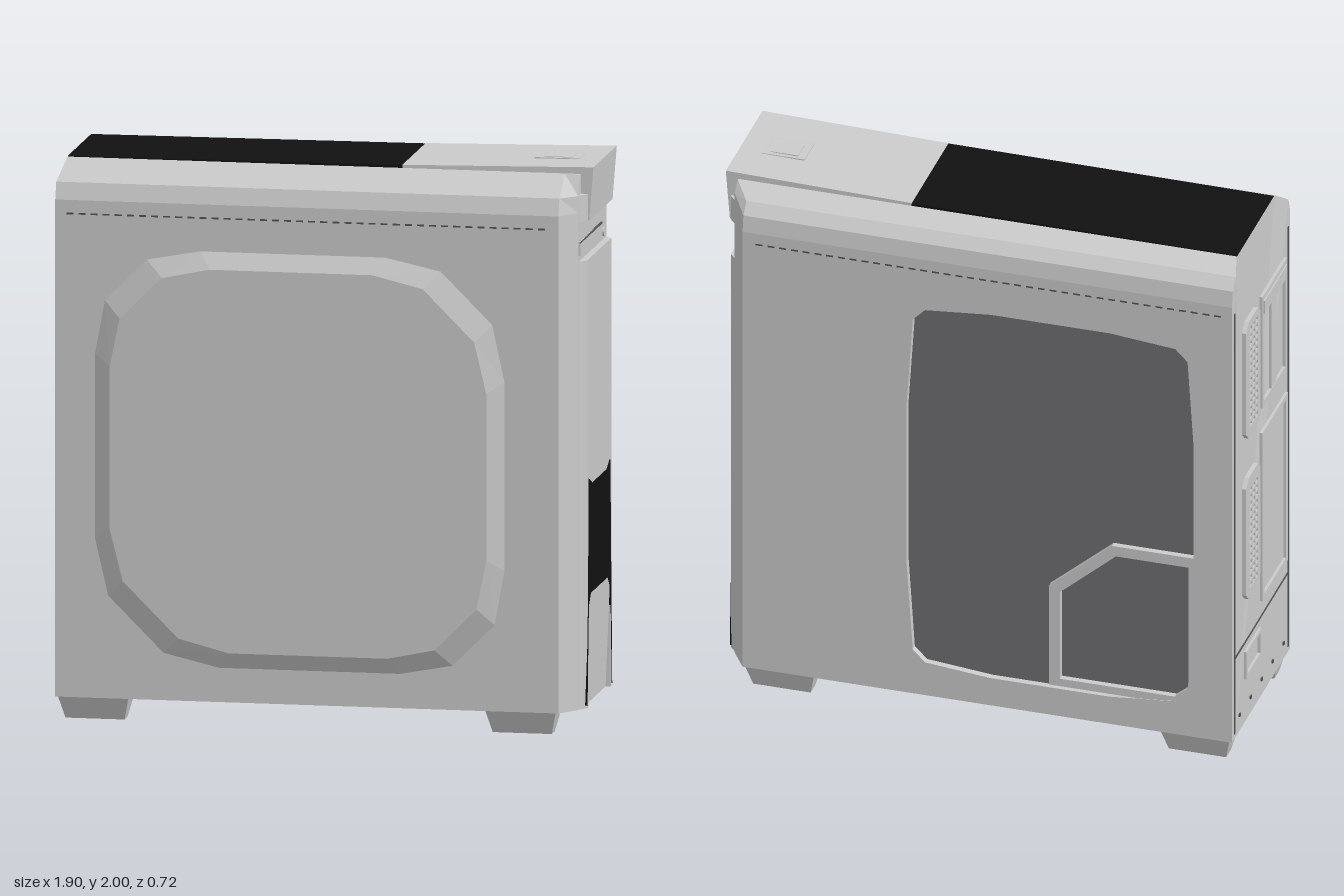
import * as THREE from 'three';

const mat = (color) => new THREE.MeshStandardMaterial({ color, flatShading: true });
const grey = mat(0xcccccc), black = mat(0x111111), glass = mat(0x707073), dark = mat(0x555555);

export function createModel() {
  const model = new THREE.Group();
  const add = (name, geo, m = grey) => {
    const mesh = new THREE.Mesh(geo, m);
    mesh.name = name;
    model.add(mesh);
    return mesh;
  };
  const box = (name, x0, x1, y0, y1, z0, z1, m) =>
    add(name, new THREE.BoxGeometry(x1 - x0, y1 - y0, z1 - z0), m)
      .position.set((x0 + x1) / 2, (y0 + y1) / 2, (z0 + z1) / 2);

  // Closed skin over convex rings, counter-clockwise seen from the last ring
  const loft = (rings) => {
    const n = rings[0].length, pos = [];
    const tri = (...p) => p.forEach((q) => pos.push(...q));
    for (let r = 0; r < rings.length - 1; r++) for (let i = 0; i < n; i++) {
      const j = (i + 1) % n, a = rings[r], b = rings[r + 1];
      tri(a[i], a[j], b[j]);
      tri(a[i], b[j], b[i]);
    }
    const first = rings[0], last = rings[rings.length - 1];
    for (let i = 1; i < n - 1; i++) {
      tri(last[0], last[i], last[i + 1]);
      tri(first[0], first[i + 1], first[i]);
    }
    const geo = new THREE.BufferGeometry();
    geo.setAttribute('position', new THREE.Float32BufferAttribute(pos, 3));
    geo.computeVertexNormals();
    return geo;
  };
  const outline = (pts) => new THREE.Shape(pts.map((p) => new THREE.Vector2(...p)));
  const rect = (u0, u1, v0, v1) => [[u0, v0], [u1, v0], [u1, v1], [u0, v1]];
  const chamfered = (u0, u1, v0, v1, c) => [[u0 + c, v0], [u1 - c, v0], [u1, v0 + c], [u1, v1 - c],
    [u1 - c, v1], [u0 + c, v1], [u0, v1 - c], [u0, v0 + c]];
  const extrude = (pts, depth, holes = []) => {
    const s = outline(pts);
    holes.forEach((h) => s.holes.push(outline(h)));
    return new THREE.ExtrudeGeometry(s, { depth, bevelEnabled: false });
  };
  // Outline in x,y between two z values
  const side = (pts, z0, z1, holes) => extrude(pts, z1 - z0, holes).translate(0, 0, z0);
  // Outline in x,z between two y values
  const flip = (pts) => pts.map(([x, z]) => [x, -z]);
  const plan = (pts, y0, y1, holes = []) =>
    extrude(flip(pts), y1 - y0, holes.map(flip)).rotateX(-Math.PI / 2).translate(0, y0, 0);
  // Outline in z,y between two x values
  const wall = (pts, x0, x1, holes) => extrude(pts, x1 - x0, holes).rotateY(-Math.PI / 2).translate(x1, 0, 0);
  // Cut each corner of an outline again to round it
  const soften = (pts, k = 0.2) => pts.flatMap((p, i) => {
    const a = pts[(i + pts.length - 1) % pts.length], b = pts[(i + 1) % pts.length];
    return [a, b].map((q) => p.map((v, d) => v + (q[d] - v) * k));
  });

  // Shell: y,z profile run along x, with a bevelled front
  const profile = (edge) => [[0.08, edge], [1.84, edge], [1.84, -0.36], [1.9, -0.35], [1.94, -0.315], [1.975, -0.24],
    [1.975, 0.21], [1.905, 0.31], [1.845, 0.33], [0.08, 0.33]];
  add('shell', loft([
    profile(-0.33).map(([y, z]) => [y > 1.95 ? -0.92 : -0.94, y, z]),
    profile(-0.33).map(([y, z]) => [0.85, y, z]),
    profile(-0.36).map(([y, z]) => [0.85, y, z]),
    profile(-0.36).map(([y, z]) => [0.905, y, THREE.MathUtils.clamp(z, -0.275, 0.25)]),
  ]));

  // Raised side panel
  const bulge = (x0, x1, y0, y1) => soften([[x0 + 0.29, y0], [x1 - 0.22, y0], [x1, y0 + 0.22], [x1, y1 - 0.27],
    [x1 - 0.27, y1], [x0 + 0.22, y1], [x0, y1 - 0.22], [x0, y0 + 0.29]], 0.16);
  add('raisedSidePanel', loft([
    bulge(-0.8, 0.66, 0.2, 1.68).map((p) => [...p, 0.329]),
    bulge(-0.74, 0.6, 0.26, 1.62).map((p) => [...p, 0.363]),
  ]));

  // Window panel, glass and its corner frame
  const opening = soften(chamfered(-0.8, 0.25, 0.19, 1.66, 0.09), 0.25);
  add('windowPanel', side(rect(-0.94, 0.85, 0.08, 1.84), -0.36, -0.329, [opening]));
  add('windowGlass', side(opening, -0.335, -0.325), glass);
  add('windowCornerFrame', side(
    [[-0.8, 0.26], [-0.74, 0.2], [-0.27, 0.2], [-0.27, 0.6], [-0.5, 0.8], [-0.8, 0.8]], -0.358, -0.33,
    [[[-0.78, 0.27], [-0.73, 0.23], [-0.31, 0.23], [-0.31, 0.58], [-0.515, 0.76], [-0.78, 0.76]]]));

  // Rows of small slots under the roof
  for (let i = 0; i < 40; i++) {
    const x = -0.9 + i * 0.043;
    box('sideSlot', x, x + 0.025, 1.794, 1.8, 0.325, 0.331, dark);
    box('sideSlot', x, x + 0.025, 1.794, 1.8, -0.361, -0.355, dark);
  }

  // Top mesh, front cap and switch
  add('topMesh', side([[-0.92, 1.96], [0.27, 1.96], [0.27, 1.985], [-0.92, 1.978]], -0.235, 0.2), black);
  add('topCap', side([[0.27, 1.96], [0.9, 1.96], [0.9, 1.81], [0.935, 1.81], [0.95, 2], [0.27, 1.986]], -0.235, 0.2));
  add('switchFrame', plan(rect(0.71, 0.87, -0.08, 0.04), 1.98, 2.0, [rect(0.73, 0.85, -0.07, 0.025)]));
  box('switchButton', 0.74, 0.84, 1.98, 2.0, -0.06, 0.015);

  // Bevelled strips beside the front door and cap
  [[0.08, 1.67], [1.81, 1.905]].forEach(([y0, y1]) => {
    add('frontStrip', plan([[0.9, 0.25], [0.93, 0.205], [0.93, 0.19], [0.9, 0.19]], y0, y1));
    add('frontStrip', plan([[0.9, -0.275], [0.93, -0.24], [0.93, -0.225], [0.9, -0.225]], y0, y1));
  });

  // Front door with its lower part leaning back
  add('frontDoor', side([[0.9, 0.08], [0.912, 0.08], [0.929, 0.48], [0.929, 1.67], [0.9, 1.67]], -0.225, 0.19));
  add('frontMesh', wall([[0.18, 0.89], [0.12, 0.865], [-0.15, 0.865], [-0.21, 0.89], [-0.245, 0.09], [-0.22, 0.44],
    [-0.17, 0.48], [0.15, 0.48], [0.19, 0.44], [0.215, 0.09]], 0.92, 0.932), black);

  // Drive bay
  add('driveTray', wall(rect(-0.17, 0.24, 1.69, 1.74), 0.9, 0.911));
  box('driveSlot', 0.905, 0.912, 1.735, 1.74, -0.17, 0.24, dark);
  add('driveButton', new THREE.CylinderGeometry(0.016, 0.016, 0.014, 16).rotateZ(Math.PI / 2)).position.set(0.906, 1.7, -0.203);

  // Vent plates on the back
  [[1.23, 1.7], [0.58, 1.07]].forEach(([y0, y1]) => {
    const holes = [];
    for (let r = 0; r < 14; r++) for (let c = 0; c < 3; c++) {
      const z = -0.195 + c * 0.034, y = y0 + 0.035 + r * 0.0295;
      holes.push(chamfered(z, z + 0.024, y, y + 0.02, 0.006));
    }
    add('backVent', wall(chamfered(-0.24, -0.07, y0, y1, 0.03), -0.955, -0.939, holes));
    box('ventBacking', -0.943, -0.939, y0 + 0.03, y1 - 0.03, -0.21, -0.1, dark);
  });

  // Port recess, slot cover and power socket on the back
  const frame = (name, z0, z1, y0, y1, t) => add(name,
    wall(rect(z0, z1, y0, y1), -0.95, -0.939, [rect(z0 + t, z1 - t, y0 + t, y1 - t)]));
  frame('portFrame', -0.03, 0.26, 1.25, 1.7, 0.02);
  box('portStrip', -0.948, -0.939, 1.27, 1.62, 0.08, 0.14);
  box('portLedge', -0.955, -0.939, 1.63, 1.68, -0.02, 0.25);
  frame('slotFrame', -0.03, 0.27, 0.47, 1.15, 0.02);
  frame('socketFrame', -0.22, -0.04, 0.26, 0.37, 0.015);
  box('backSeam', -0.943, -0.939, 0.4, 0.406, -0.33, 0.3, dark);
  [-0.335, 0.3].forEach((z) => box('backEdgeGroove', -0.942, -0.939, 0.1, 1.8, z, z + 0.008, dark));
  for (let i = 0; i < 5; i++) box('backScrew', -0.945, -0.939, 0.14, 0.152, -0.28 + i * 0.13, -0.268 + i * 0.13, dark);

  // Floor filter with a perforated grille
  const floorHoles = [];
  for (let i = 0; i < 12; i++) for (let j = 0; j < 12; j++) {
    const x = -0.62 + i * 0.025, z = -0.165 + j * 0.025;
    floorHoles.push(rect(x, x + 0.016, z, z + 0.016));
  }
  add('floorGrille', plan(chamfered(-0.66, -0.28, -0.22, 0.2, 0.02), 0.062, 0.081, floorHoles));
  box('grilleBacking', -0.63, -0.31, 0.076, 0.081, -0.18, 0.15, black);

  // Tapered feet
  const footRing = (x0, x1, z0, z1, y) => [[x0, y, z0], [x0, y, z1], [x1, y, z1], [x1, y, z0]];
  [[-0.93, -0.68], [0.59, 0.84]].forEach(([x0, x1]) => [[-0.36, -0.24], [0.21, 0.33]].forEach(([z0, z1]) =>
    add('foot', loft([
      footRing(x0 + 0.02, x1 - 0.02, z0 + 0.03, z1 - 0.035, 0),
      footRing(x0, x1, z0, z1, 0.081),
    ]))));

  return model;
}
